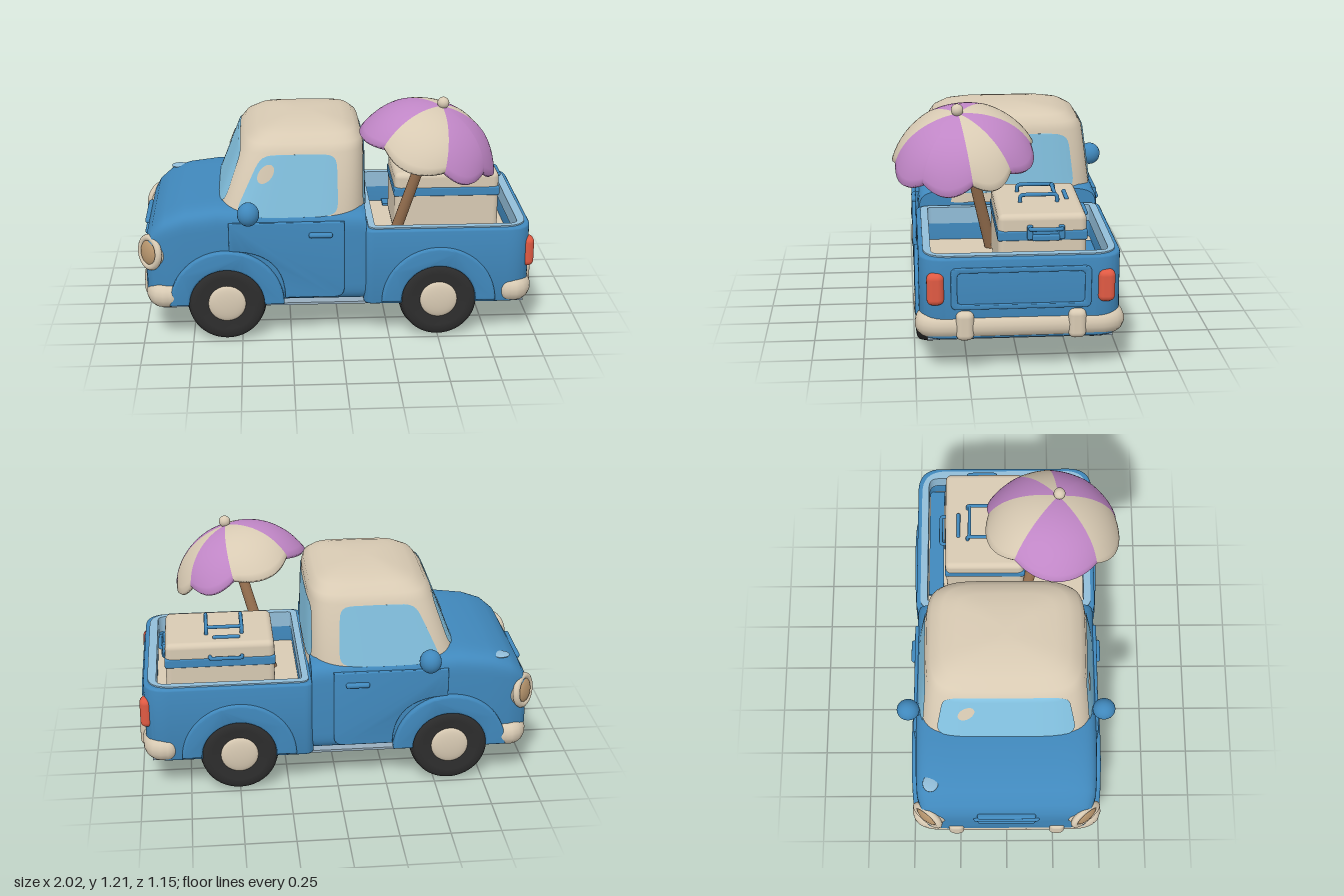
import * as THREE from 'three';
import { toCreasedNormals } from 'three/addons/utils/BufferGeometryUtils.js';
import { RoundedBoxGeometry } from 'three/addons/geometries/RoundedBoxGeometry.js';

const mat = (name, color, side = THREE.FrontSide) => {
  const m = new THREE.MeshStandardMaterial({ color, side });
  m.name = name;
  return m;
};
const V = (x, y, z) => new THREE.Vector3(x, y, z);

// Surface patch: fn(u, v) gives [x, y, z] for u, v in 0..1
function grid(nu, nv, fn) {
  const g = new THREE.PlaneGeometry(1, 1, nu, nv), p = g.attributes.position;
  for (let i = 0; i < p.count; i++) p.setXYZ(i, ...fn(p.getX(i) + 0.5, p.getY(i) + 0.5));
  g.computeVertexNormals();
  return g;
}

// Unit superellipse point at angle a
const squircle = (a, n) => [Math.cos(a), Math.sin(a)].map(c => Math.sign(c) * Math.abs(c) ** (2 / n));

// Closed skin through rings of points, capped at both ends and wound outwards
function loft(rings, crease = 0.7) {
  const m = rings[0].length, pts = rings.flat(), idx = [];
  rings.slice(1).forEach((_, k) => {
    for (let i = 0; i < m; i++) {
      const a = k * m + i, b = k * m + (i + 1) % m;
      idx.push(a, b, a + m, b, b + m, a + m);
    }
  });
  [0, rings.length - 1].forEach(k => {
    const c = pts.length;
    pts.push(rings[k].reduce((s, p) => s.add(p), V(0, 0, 0)).divideScalar(m));
    for (let i = 0; i < m; i++) {
      const a = k * m + i, b = k * m + (i + 1) % m;
      idx.push(...(k ? [a, b, c] : [b, a, c]));
    }
  });
  let volume = 0;
  for (let i = 0; i < idx.length; i += 3)
    volume += pts[idx[i]].dot(V(0, 0, 0).crossVectors(pts[idx[i + 1]], pts[idx[i + 2]]));
  if (volume < 0) idx.reverse();
  const g = new THREE.BufferGeometry().setFromPoints(pts);
  g.setIndex(idx);
  return toCreasedNormals(g, crease);
}

// Rounded rectangle, r2 is the radius at the x1 corners
function roundRect(x0, y0, x1, y1, r, r2 = r, S = THREE.Shape) {
  const s = new S();
  s.moveTo(x0 + r, y0);
  s.lineTo(x1 - r2, y0).quadraticCurveTo(x1, y0, x1, y0 + r2);
  s.lineTo(x1, y1 - r2).quadraticCurveTo(x1, y1, x1 - r2, y1);
  s.lineTo(x0 + r, y1).quadraticCurveTo(x0, y1, x0, y1 - r);
  s.lineTo(x0, y0 + r).quadraticCurveTo(x0, y0, x0 + r, y0);
  return s;
}
const extrude = (shape, depth, bevel) => toCreasedNormals(new THREE.ExtrudeGeometry(shape, {
  depth, curveSegments: 20, bevelEnabled: bevel > 0, bevelSize: bevel, bevelThickness: bevel, bevelOffset: -bevel, bevelSegments: 3 }), 0.6);

// Cab outline by height: y, front x, back x, half width
const CAB = [[0.6, -0.645, 0.14, 0.455], [0.97, -0.5, 0.13, 0.4], [1.01, -0.47, 0.12, 0.375],
  [1.045, -0.41, 0.085, 0.32], [1.065, -0.34, 0.03, 0.25], [1.078, -0.27, -0.05, 0.14], [1.082, -0.22, -0.12, 0.05]];
function cabAt(y) {
  const k = Math.max(1, CAB.findIndex(s => s[0] >= y)), a = CAB[k - 1], b = CAB[k];
  const [, f, r, w] = a.map((v, i) => v + (b[i] - v) * (y - a[0]) / (b[0] - a[0]));
  return { c: (f + r) / 2, a: (r - f) / 2, w };
}
const bulge = t => (1 - Math.min(1, Math.abs(t)) ** 5) ** 0.2;
const onSide = (x, y, d) => { const s = cabAt(y); return [x, y, s.w * bulge((x - s.c) / s.a) + d]; };
const onEnd = (sign, z, y, d) => { const s = cabAt(y); return [s.c + sign * (s.a * bulge(z / s.w) + d), y, z]; };

// Round-cornered patch inside a quad [bottomLeft, bottomRight, topRight, topLeft]
function patch(q, place, power = 7) {
  return grid(16, 20, (u, v) => {
    const t = Math.sin((v - 0.5) * Math.PI);
    const s = 0.5 + (u - 0.5) * Math.max(0, 1 - Math.abs(t) ** power) ** (1 / power), h = (t + 1) / 2;
    const at = i => (q[0][i] * (1 - s) + q[1][i] * s) * (1 - h) + (q[3][i] * (1 - s) + q[2][i] * s) * h;
    return place(at(0), at(1));
  });
}

export function createModel() {
  const model = new THREE.Group();
  model.name = 'pickupTruck';
  const D = THREE.DoubleSide;
  const blue = mat('bodyBlue', 0x4088bc), pale = mat('paleBlue', 0x92bdd8), cream = mat('cream', 0xd8cab3, D),
    glass = mat('glassBlue', 0x84c3e2, D), purple = mat('purple', 0xc086c6, D), rubber = mat('rubber', 0x2d2d2d),
    red = mat('lampRed', 0xe05a43), wood = mat('wood', 0x987150), slate = mat('slate', 0x98aebd), lens = mat('lensTan', 0xb8966e);
  const add = (name, geo, m, x = 0, y = 0, z = 0, parent = model) => {
    const mesh = new THREE.Mesh(geo, m);
    mesh.name = name;
    mesh.position.set(x, y, z);
    parent.add(mesh);
    return mesh;
  };
  const box = (w, h, d, r) => new RoundedBoxGeometry(w, h, d, 3, r);
  const angles = Array.from({ length: 64 }, (_, i) => i / 64 * Math.PI * 2);

  // Hood and lower cab: x, bottom, top, half width
  const hull = [[-0.985, 0.25, 0.49, 0.35], [-0.975, 0.22, 0.54, 0.41], [-0.945, 0.195, 0.595, 0.44], [-0.88, 0.18, 0.65, 0.46],
    [-0.78, 0.18, 0.685, 0.466], [-0.62, 0.18, 0.705, 0.468], [-0.4, 0.18, 0.695, 0.468], [0.1, 0.18, 0.68, 0.468], [0.13, 0.18, 0.665, 0.462]];
  add('lowerCab', loft(hull.map(([x, b, t, w]) => angles.map(a => {
    const [p, q] = squircle(a, 8);
    return V(x, (b + t) / 2 + q * (t - b) / 2, p * w);
  }))), blue);
  add('underside', new THREE.BoxGeometry(1.84, 0.012, 0.88), slate, 0.02, 0.175, 0);

  // Cab roof with pillars
  add('cabRoof', loft(CAB.map(([y]) => angles.map(a => {
    const s = cabAt(y), [p, q] = squircle(a, 5);
    return V(s.c + p * s.a, y, q * s.w);
  })), 0.9), cream);

  // Windows and their glints
  const sideQuad = [[-0.535, 0.65], [-0.01, 0.65], [-0.015, 0.965], [-0.39, 0.965]];
  for (const s of [1, -1])
    add('sideWindow', patch(sideQuad, (x, y) => { const p = onSide(x, y, 0.006); return [p[0], p[1], p[2] * s]; }), glass);
  add('windshield', patch([[-0.36, 0.69], [0.36, 0.69], [0.31, 0.985], [-0.31, 0.985]], (z, y) => onEnd(-1, z, y, 0.006)), glass);
  add('rearWindow', patch([[-0.35, 0.65], [0.35, 0.65], [0.31, 0.96], [-0.31, 0.96]], (z, y) => onEnd(1, z, y, 0.006)), glass);
  const glint = (a, b) => [[a - 0.06, b - 0.03], [a, b - 0.06], [a + 0.06, b + 0.03], [a, b + 0.06]];
  add('sideGlint', patch(glint(-0.37, 0.87), (x, y) => onSide(x, y, 0.01), 2), cream);
  add('frontGlint', patch(glint(-0.2, 0.88), (z, y) => onEnd(-1, z, y, 0.01), 2), cream);
  add('hoodGlint', new THREE.SphereGeometry(0.045, 16, 10), pale, -0.84, 0.657, -0.385).scale.set(1, 0.2, 0.9);

  // Cargo bed, rail and floor
  const ring = (o, h) => {
    const s = roundRect(0.12 + o, -0.478 + o, 0.97 - o, 0.478 - o, 0.05, 0.13);
    s.holes.push(roundRect(0.17 + h, -0.425 + h, 0.91 - h, 0.425 - h, 0.02, 0.05, THREE.Path));
    return s;
  };
  add('bedWalls', extrude(ring(0, 0), 0.376, 0.012), blue, 0, 0.192, 0).rotation.x = -Math.PI / 2;
  add('bedRail', extrude(ring(0.022, 0.006), 0.087, 0), pale, 0, 0.5, 0).rotation.x = -Math.PI / 2;
  add('bedFloor', new THREE.BoxGeometry(0.74, 0.03, 0.86), cream, 0.54, 0.397, 0);
  add('bedSideLedge', new THREE.BoxGeometry(0.62, 0.03, 0.08), blue, 0.59, 0.41, -0.38);

  // Tailgate frame
  const gate = roundRect(-0.33, 0.33, 0.33, 0.535, 0.03);
  gate.holes.push(roundRect(-0.3, 0.355, 0.3, 0.51, 0.025, 0.025, THREE.Path));
  add('tailgateFrame', extrude(gate, 0.012, 0.005), blue, 0.962, 0, 0).rotation.y = Math.PI / 2;

  // Grille bars
  for (const [y, w] of [[0.43, 0.3], [0.48, 0.34], [0.53, 0.3]]) add('grilleBar', box(0.03, 0.028, w, 0.012), blue, -0.983, y, 0);

  // Door outline stepping over the front wheel
  const door = new THREE.Shape();
  door.moveTo(-0.28, 0.225);
  door.lineTo(-0.03, 0.225).quadraticCurveTo(0.02, 0.225, 0.02, 0.275);
  door.lineTo(0.02, 0.63).lineTo(-0.56, 0.63).lineTo(-0.56, 0.48).quadraticCurveTo(-0.28, 0.48, -0.28, 0.225);

  for (const s of [1, -1]) {
    // Wheels with fenders
    for (const x of [-0.575, 0.5]) {
      const wheel = new THREE.Group();
      wheel.name = 'wheel';
      wheel.position.set(x, 0.202, s * 0.388);
      wheel.rotation.x = s * Math.PI / 2;
      model.add(wheel);
      const tyre = [[0, -0.1], [0.14, -0.1], [0.175, -0.09], [0.195, -0.05], [0.201, 0], [0.2, 0.05], [0.192, 0.086], [0.175, 0.099], [0.14, 0.104], [0.1, 0.092], [0, 0.092]];
      add('tyre', new THREE.LatheGeometry(tyre.map(p => new THREE.Vector2(...p)), 48), rubber, 0, 0, 0, wheel);
      add('hub', new THREE.SphereGeometry(0.095, 28, 14), cream, 0, 0.092, 0, wheel).scale.y = 0.22;
      const arch = new THREE.Shape();
      arch.absarc(0, 0, 0.29, 0, Math.PI, false);
      arch.absarc(0, 0, 0.19, Math.PI, 0, true);
      add('fender', extrude(arch, 0.035, 0.012), blue, x, 0.195, s > 0 ? 0.448 : -0.483);
    }
    // Door, handle and mirror
    add('door', extrude(door, 0.014, 0.006), blue, 0, 0, s > 0 ? 0.458 : -0.472);
    add('doorHandle', box(0.12, 0.026, 0.03, 0.012), blue, -0.1, 0.565, s * 0.484);
    add('mirror', new THREE.SphereGeometry(0.06, 20, 14), blue, -0.46, 0.69, s * 0.503).scale.set(0.92, 1, 0.98);
    add('mirrorArm', box(0.04, 0.03, 0.08, 0.012), blue, -0.46, 0.66, s * 0.46);
    // Headlights
    const lamp = new THREE.Group();
    lamp.name = 'headlight';
    lamp.position.set(-0.95, 0.46, s * 0.4);
    lamp.quaternion.setFromUnitVectors(V(0, 1, 0), V(-0.78, 0.1, s * 0.62).normalize());
    model.add(lamp);
    add('headlightBase', new THREE.CylinderGeometry(0.08, 0.09, 0.07, 28), cream, 0, -0.02, 0, lamp);
    add('headlightRing', new THREE.TorusGeometry(0.075, 0.018, 10, 28), cream, 0, 0.012, 0, lamp).rotation.x = Math.PI / 2;
    add('headlightLens', new THREE.SphereGeometry(0.066, 24, 12), lens, 0, 0.014, 0, lamp).scale.y = 0.4;
    // Tail lights
    add('tailLight', box(0.062, 0.158, 0.082, 0.03), red, 0.96, 0.432, s * 0.402);
    // Bumpers, s = 1 at the rear
    const path = [[0.86, 0.452], [0.905, 0.45], [0.932, 0.41], [0.94, 0.3], [0.943, 0]];
    const pts = [...path, ...path.slice(0, -1).reverse().map(([x, z]) => [x, -z])].map(([x, z]) => V(s * x, 0, z));
    add('bumper', new THREE.TubeGeometry(new THREE.CatmullRomCurve3(pts), 60, 0.047, 14), cream, 0, 0.24, 0).scale.y = 1.25;
    for (const z of [1, -1]) {
      add('bumperEnd', new THREE.SphereGeometry(0.047, 16, 12), cream, s * 0.86, 0.24, z * 0.452).scale.y = 1.25;
      add('bumperGuard', box(0.09, 0.145, 0.085, 0.03), cream, s * 0.956, 0.25, z * 0.265);
    }
  }

  // Suitcase with bands, carrying frame and handles
  const luggage = new THREE.Group();
  luggage.name = 'suitcase';
  luggage.position.set(0.58, 0.4, -0.11);
  model.add(luggage);
  add('caseBody', box(0.55, 0.35, 0.42, 0.03), cream, 0, 0.175, 0, luggage);
  add('caseBand', box(0.558, 0.05, 0.428, 0.01), blue, 0, 0.247, 0, luggage);
  const grip = (w, h) => new THREE.TubeGeometry(new THREE.CatmullRomCurve3(
    [[-w, -0.01], [-w, h * 0.6], [-w * 0.85, h], [w * 0.85, h], [w, h * 0.6], [w, -0.01]].map(([x, y]) => V(x, y, 0)), false, 'catmullrom', 0.2), 32, 0.01, 8);
  const handle = (x, y, z, w, h, rx = 0, ry = 0, rz = 0) =>
    add('caseHandle', grip(w, h), blue, x, y, z, luggage).rotation.set(rx, ry, rz);
  for (const x of [-0.115, 0.065]) handle(x, 0.35, 0, 0.09, 0.036, 0, Math.PI / 2);
  add('caseFrameBar', box(0.19, 0.018, 0.018, 0.008), blue, -0.025, 0.384, -0.08, luggage);
  add('caseTopBar', box(0.14, 0.02, 0.02, 0.009), blue, -0.035, 0.354, -0.14, luggage);
  handle(-0.03, 0.28, -0.21, 0.08, 0.025, -Math.PI / 2);
  handle(0.275, 0.285, -0.015, 0.075, 0.025, Math.PI / 2, 0, -Math.PI / 2);
  add('caseHandlePlate', box(0.02, 0.03, 0.13, 0.008), blue, 0.285, 0.24, -0.015, luggage);
  for (const z of [-0.09, 0.06]) add('caseLatch', box(0.022, 0.07, 0.028, 0.008), blue, 0.278, 0.265, z, luggage);

  // Parasol: puffed panels between seam angles, on a leaning pole
  const parasol = new THREE.Group();
  parasol.name = 'parasol';
  parasol.position.set(0.52, 1.165, 0.27);
  model.add(parasol);
  const lean = (mesh, z) => mesh.quaternion.setFromUnitVectors(V(0, 1, 0), V(0.27, 0.94, z).normalize());
  const canopy = new THREE.Group();
  canopy.name = 'canopy';
  lean(canopy, 0.11);
  parasol.add(canopy);
  const seams = [-40, -5, 38, 82, 140, 218, 275, 320].map(THREE.MathUtils.degToRad);
  [cream, purple, purple, cream, purple, cream, purple].forEach((colour, i) => {
    const panel = grid(14, 28, (u, v) => {
      const under = v > 0.55, t = under ? (1 - v) / 0.45 : v / 0.55, phi = t * 1.15, lobe = Math.sin(Math.PI * u);
      const a = seams[i] + (seams[i + 1] - seams[i]) * u;
      const r = 0.365 * Math.sin(phi) / Math.sin(1.15) * (1 - 0.07 * t * t * (1 - lobe)) * (under ? 0.97 : 1);
      const y = -0.215 * (1 - Math.cos(phi)) / (1 - Math.cos(1.15)) - 0.045 * t ** 3 * lobe - (under ? 0.025 : 0);
      return [r * Math.cos(a), y, r * Math.sin(a)];
    });
    add('parasolPanel', panel, colour, 0, 0, 0, canopy);
  });
  const pole = new THREE.CylinderGeometry(0.026, 0.03, 0.8, 16).translate(0, -0.41, 0);
  lean(add('parasolPole', pole, wood, 0, 0, 0, parasol), 0.21);
  add('parasolKnob', new THREE.SphereGeometry(0.03, 18, 12), cream, 0.005, 0.018, 0.005, parasol);
  return model;
}
